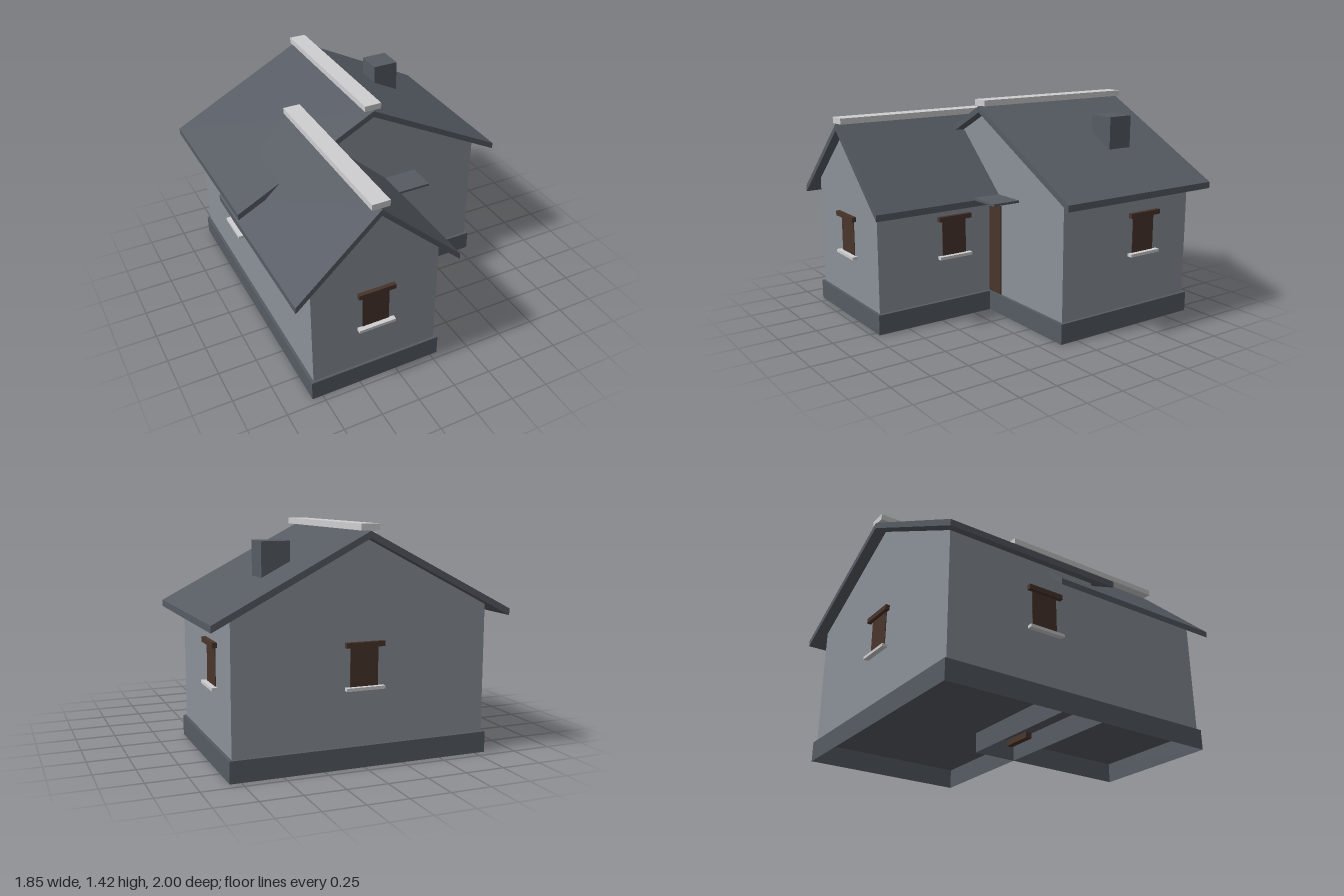
import * as THREE from 'three';

export function createModel() {
  const house = new THREE.Group();
  house.name = 'house';

  const material = (name, color) => {
    const m = new THREE.MeshStandardMaterial({ color });
    m.name = name;
    return m;
  };
  const wall = material('greyWall', 0x8b9199);
  const slate = material('darkSlate', 0x565b63);
  slate.side = THREE.DoubleSide; // the plinths are open underneath
  const wood = material('darkWood', 0x48352b);
  const stone = material('paleStone', 0xcfcfd1);

  const add = (name, geometry, mat, parent = house) => {
    const mesh = new THREE.Mesh(geometry, mat);
    mesh.name = name;
    parent.add(mesh);
    return mesh;
  };

  // Box given by its extents on each axis
  const box = (name, mat, [x0, x1], [y0, y1], [z0, z1], parent) => {
    const g = new THREE.BoxGeometry(x1 - x0, y1 - y0, z1 - z0);
    g.translate((x0 + x1) / 2, (y0 + y1) / 2, (z0 + z1) / 2);
    return add(name, g, mat, parent);
  };

  // Outline in x and y, extruded from z0 to z1
  const prism = (name, mat, points, z0, z1) => {
    const shape = new THREE.Shape(points.map(([x, y]) => new THREE.Vector2(x, y)));
    const g = new THREE.ExtrudeGeometry(shape, { depth: z1 - z0, bevelEnabled: false });
    g.translate(0, 0, z0);
    return add(name, g, mat);
  };

  // Plinth: box shell without its bottom face
  const plinth = (name, ...extents) => {
    const mesh = box(name, slate, ...extents);
    const index = Array.from(mesh.geometry.index.array);
    index.splice(18, 6);
    mesh.geometry.setIndex(index);
    mesh.geometry.clearGroups();
  };
  plinth('mainPlinth', [-0.818, 0.818], [0, 0.13], [-0.943, 0.123]);
  plinth('wingPlinth', [-0.818, 0.05], [0, 0.13], [-0.17, 0.957]);

  // Each block: gabled walls, two-slope roof and ridge cap
  const blocks = [
    { name: 'main', cx: 0, half: 0.8, apex: 1.336, slope: 0.518, eave: 0.926,
      wallZ: [-0.925, 0.105], roofZ: [-1, 0.175], capZ: [-0.99, 0.165] },
    { name: 'wing', cx: -0.386, half: 0.414, apex: 1.24, slope: 0.92, eave: 0.527,
      wallZ: [-0.155, 0.94], roofZ: [-0.222, 1], capZ: [-0.215, 0.99] },
  ];
  for (const { name, cx, half, apex, slope, eave, wallZ, roofZ, capZ } of blocks) {
    const shoulder = apex - slope * half;
    prism(name + 'Walls', wall, [
      [cx - half, 0.131], [cx + half, 0.131], [cx + half, shoulder],
      [cx, apex], [cx - half, shoulder],
    ], ...wallZ);

    const t = 0.041;
    const low = apex - slope * eave;
    prism(name + 'Roof', slate, [
      [cx - eave, low], [cx, apex], [cx + eave, low],
      [cx + eave, low + t], [cx, apex + t], [cx - eave, low + t],
    ], ...roofZ);

    box(name + 'RidgeCap', stone, [cx - 0.056, cx + 0.056],
      [apex + t + 0.002, apex + t + 0.04], capZ);
  }

  box('chimney', slate, [0.355, 0.53], [1.0, 1.312], [-0.66, -0.485]);

  // Window with lintel and sill, built facing +z and turned to its wall
  const addWindow = (name, x, y, z, turn) => {
    const g = new THREE.Group();
    g.name = name;
    box('pane', wood, [-0.088, 0.088], [-0.118, 0.118], [-0.004, 0.004], g);
    box('lintel', wood, [-0.121, 0.121], [0.113, 0.144], [-0.01, 0.027], g);
    box('sill', stone, [-0.121, 0.121], [-0.137, -0.118], [-0.01, 0.034], g);
    g.position.set(x, y, z);
    g.rotation.y = turn;
    house.add(g);
  };
  addWindow('wingFrontWindow', -0.386, 0.55, 0.94, 0);
  addWindow('wingSideWindow', 0.028, 0.55, 0.39, Math.PI / 2);
  addWindow('leftWindow', 0.8, 0.6, -0.54, Math.PI / 2);
  addWindow('rightWindow', -0.8, 0.6, -0.27, -Math.PI / 2);
  addWindow('backWindow', 0, 0.6, -0.925, Math.PI);

  // Entrance, partly tucked into the wing
  box('door', wood, [-0.16, 0.16], [0.09, 0.735], [0.07, 0.112]);
  box('doorLintel', wood, [-0.22, 0.22], [0.76, 0.795], [0.08, 0.14]);
  box('doorCanopy', slate, [-0.35, 0.35], [0.795, 0.81], [0.08, 0.297]);

  return house;
}
